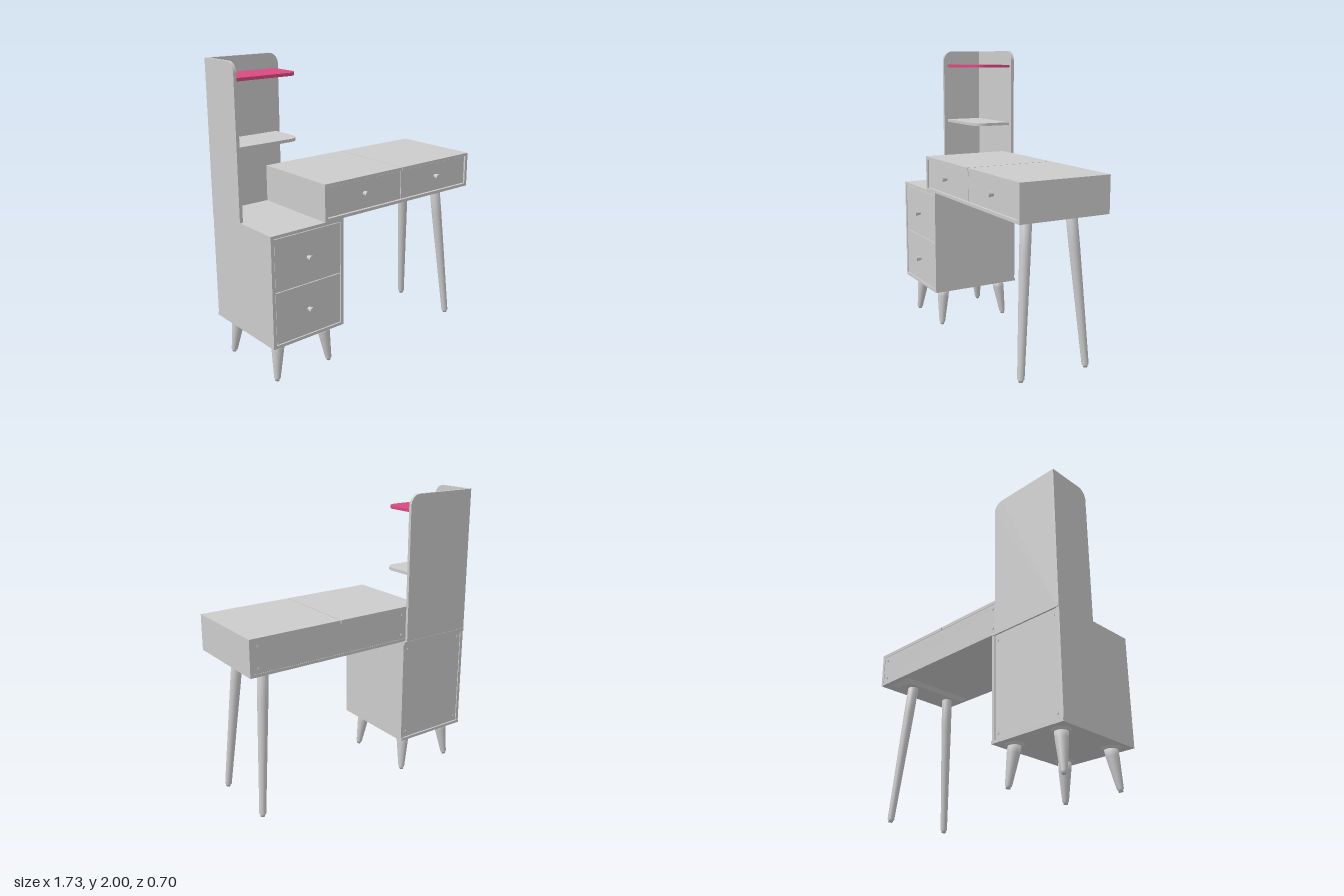
import * as THREE from 'three';

const grey = new THREE.MeshStandardMaterial({ color: 0xcccccc });
const pink = new THREE.MeshStandardMaterial({ color: 0xd94a80 });

export function createModel() {
  const model = new THREE.Group();
  model.name = 'deskWithShelfTower';

  const add = (name, geometry, parent = model, material = grey) => {
    const mesh = new THREE.Mesh(geometry, material);
    mesh.name = name;
    parent.add(mesh);
    return mesh;
  };
  const group = (name) => {
    const g = new THREE.Group();
    g.name = name;
    model.add(g);
    return g;
  };
  // Box given by its limits on each axis
  const box = (name, parent, x0, x1, y0, y1, z0, z1) => {
    const m = add(name, new THREE.BoxGeometry(x1 - x0, y1 - y0, z1 - z0), parent);
    m.position.set((x0 + x1) / 2, (y0 + y1) / 2, (z0 + z1) / 2);
    return m;
  };
  // Board w by h whose far corner (w, h) is rounded
  const roundedBoard = (w, h, r, t) => {
    const s = new THREE.Shape();
    s.moveTo(0, 0);
    s.lineTo(w, 0);
    s.lineTo(w, h - r);
    s.absarc(w - r, h - r, r, 0, Math.PI / 2, false);
    s.lineTo(0, h);
    s.closePath();
    return new THREE.ExtrudeGeometry(s, { depth: t, bevelEnabled: false, curveSegments: 12 });
  };
  const knob = (parent, x, y, z) => {
    const m = add('knob', new THREE.CylinderGeometry(0.02, 0.013, 0.04, 20), parent);
    m.rotation.x = Math.PI / 2;
    m.position.set(x, y, z + 0.02);
  };
  const screw = (parent, x, y, z) => {
    const m = add('screw', new THREE.CylinderGeometry(0.009, 0.009, 0.006, 12), parent);
    m.rotation.x = Math.PI / 2;
    m.position.set(x, y, z);
  };
  // Tapered leg with a narrow foot, running from its top to its bottom point
  const leg = (name, parent, top, bottom, rTop, rBottom) => {
    const a = new THREE.Vector3(...top), b = new THREE.Vector3(...bottom);
    const len = a.distanceTo(b);
    const profile = [[0, 0], [rBottom * 0.65, 0], [rBottom * 0.7, 0.012], [rBottom, 0.018],
      [rTop * 0.97, len * 0.8], [rTop, len], [0, len]].map((p) => new THREE.Vector2(...p));
    const m = add(name, new THREE.LatheGeometry(profile, 20), parent);
    m.position.copy(b);
    m.quaternion.setFromUnitVectors(new THREE.Vector3(0, 1, 0), a.sub(b).normalize());
  };

  // Drawer cabinet
  const cabinet = group('cabinet');
  box('cabinetTop', cabinet, -0.867, -0.31, 0.99, 1.01, -0.35, 0.31);
  box('cabinetBottom', cabinet, -0.867, -0.31, 0.27, 0.29, -0.35, 0.31);
  box('cabinetSide', cabinet, -0.867, -0.845, 0.29, 0.99, -0.345, 0.31);
  box('cabinetSide', cabinet, -0.332, -0.31, 0.29, 0.99, -0.345, 0.31);
  box('cabinetBack', cabinet, -0.845, -0.332, 0.29, 0.99, -0.338, -0.325);
  [[0.295, 0.638], [0.643, 0.985]].forEach(([y0, y1]) => {
    box('cabinetDrawer', cabinet, -0.841, -0.336, y0, y1, -0.3, 0.307);
    knob(cabinet, -0.59, (y0 + y1) / 2, 0.307);
  });
  for (const x of [-0.82, -0.357]) for (const y of [0.33, 0.95]) screw(cabinet, x, y, -0.339);

  // Short splayed cabinet legs
  for (const [tx, bx] of [[-0.768, -0.8], [-0.407, -0.378]]) {
    for (const [tz, bz] of [[0.208, 0.235], [-0.25, -0.28]]) {
      const plate = add('cabinetLegPlate', new THREE.CylinderGeometry(0.063, 0.05, 0.012, 24), cabinet);
      plate.position.set(tx, 0.264, tz);
      leg('cabinetLeg', cabinet, [tx, 0.265, tz], [bx, 0, bz], 0.042, 0.021);
    }
  }

  // Desk box resting partly on the cabinet
  const desk = group('desk');
  box('deskTopLeft', desk, -0.455, 0.202, 1.235, 1.255, -0.33, 0.31);
  box('deskTopRight', desk, 0.208, 0.865, 1.235, 1.255, -0.33, 0.31);
  box('deskBottom', desk, -0.455, 0.865, 1.01, 1.03, -0.33, 0.31);
  box('deskSide', desk, -0.455, -0.433, 1.03, 1.235, -0.33, 0.31);
  box('deskSide', desk, 0.843, 0.865, 1.03, 1.235, -0.33, 0.31);
  box('deskBack', desk, -0.433, 0.843, 1.03, 1.235, -0.327, -0.307);
  [[-0.429, 0.2], [0.206, 0.839]].forEach(([x0, x1], i) => {
    box('deskDrawer', desk, x0, x1, 1.034, 1.231, -0.29, 0.3);
    knob(desk, i ? 0.535 : -0.125, 1.137, 0.3);
  });
  for (const x of [-0.3, 0.805]) for (const y of [1.06, 1.2]) screw(desk, x, y, -0.33);

  // Bevelled mounting plate and long desk legs
  const plate = new THREE.BoxGeometry(0.18, 0.025, 0.57);
  const pos = plate.attributes.position;
  for (let i = 0; i < pos.count; i++) {
    if (pos.getY(i) < 0) {
      pos.setX(i, pos.getX(i) * 0.72);
      pos.setZ(i, pos.getZ(i) * 0.88);
    }
  }
  const flat = plate.toNonIndexed();
  flat.computeVertexNormals();
  add('deskLegPlate', flat, desk).position.set(0.692, 0.9975, -0.003);
  leg('deskLeg', desk, [0.69, 0.99, 0.16], [0.77, 0, 0.237], 0.037, 0.023);
  leg('deskLeg', desk, [0.69, 0.99, -0.17], [0.77, 0, -0.245], 0.037, 0.023);

  // Shelf tower: back board and side board with rounded top corners
  const tower = group('shelfTower');
  add('towerBack', roundedBoard(0.508, 0.99, 0.07, 0.022), tower).position.set(-0.845, 1.01, -0.348);
  const side = add('towerSide', roundedBoard(0.325, 0.99, 0.07, 0.022), tower);
  side.rotation.y = -Math.PI / 2;
  side.position.set(-0.845, 1.01, -0.348);

  // Shelves with one rounded front corner
  [[1.48, grey, 'lowerShelf'], [1.9, pink, 'upperShelf']].forEach(([y, material, name]) => {
    const shelf = add(name, roundedBoard(0.48, 0.275, 0.085, 0.02), tower, material);
    shelf.rotation.x = Math.PI / 2;
    shelf.position.set(-0.845, y, -0.326);
  });

  return model;
}
